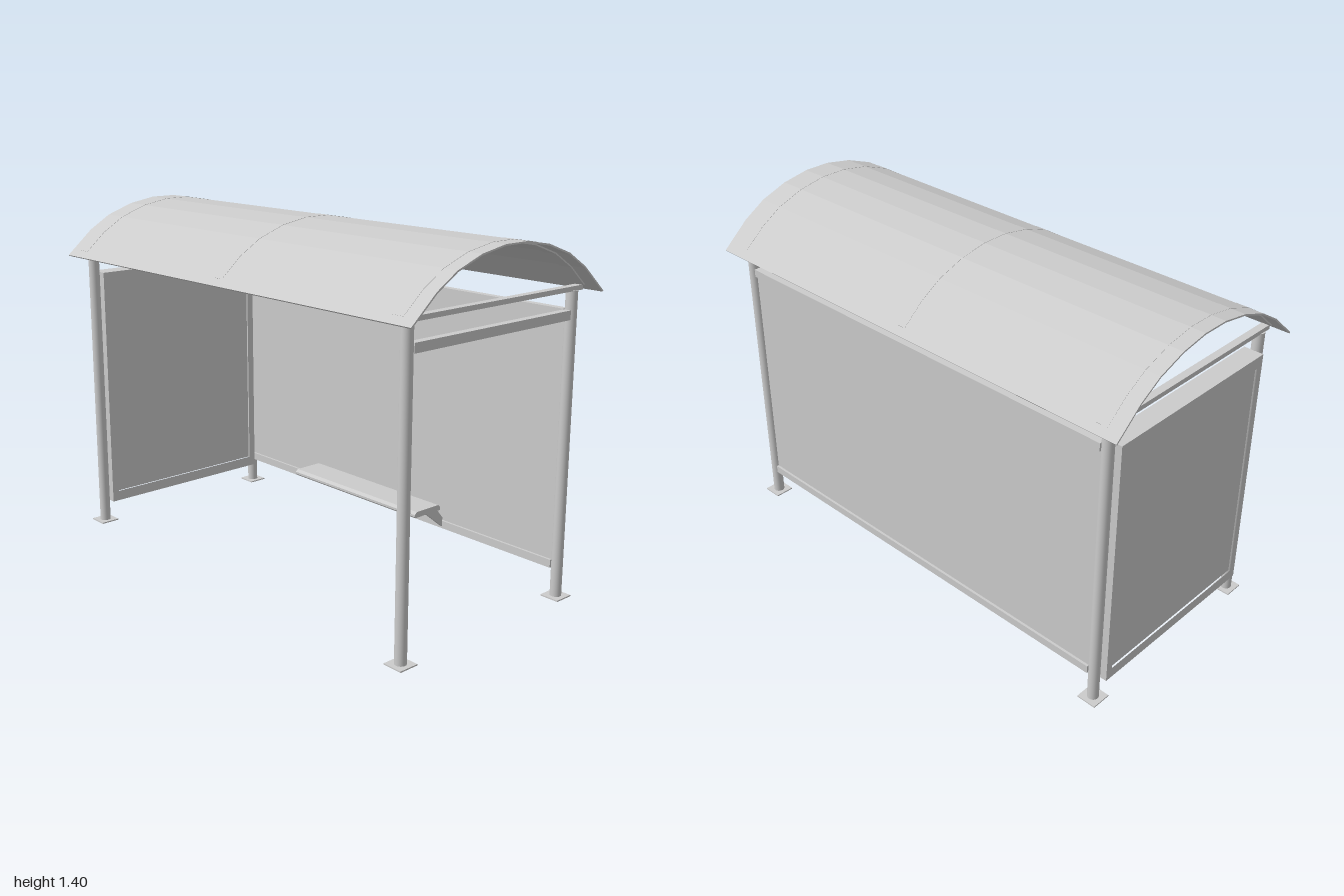
import * as THREE from 'three';

const material = new THREE.MeshStandardMaterial({ color: 0xcccccc });
const flatMaterial = new THREE.MeshStandardMaterial({ color: 0xcccccc, flatShading: true });

const POST_X = 0.917, POST_Z = 0.42;

function add(parent, name, geometry, x = 0, y = 0, z = 0, mat = material) {
  const mesh = new THREE.Mesh(geometry, mat);
  mesh.name = name;
  mesh.position.set(x, y, z);
  parent.add(mesh);
  return mesh;
}

// Box given by its size and centre
function box(parent, name, size, centre) {
  return add(parent, name, new THREE.BoxGeometry(...size), ...centre);
}

// Side profile of [z, y] points, extruded along x and centred on x = 0
function extrudeX(points, width, hole) {
  const toVectors = (list) => list.map(([z, y]) => new THREE.Vector2(-z, y));
  const shape = new THREE.Shape(toVectors(points));
  if (hole) shape.holes.push(new THREE.Path(toVectors(hole)));
  const geometry = new THREE.ExtrudeGeometry(shape, { depth: width, bevelEnabled: false });
  return geometry.translate(0, 0, -width / 2).rotateY(Math.PI / 2);
}

const rect = (z, y0, y1) => [[-z, y0], [z, y0], [z, y1], [-z, y1]];

// Closed band under half an arch, mirrored to the other half
function archBand(half, top, bottom) {
  const arch = [...half, ...half.map(([z, y]) => [-z, y]).reverse()];
  const offset = (d) => arch.map(([z, y]) => {
    const a = z * 1.5; // approximate slope angle of the arch
    return [z + Math.sin(a) * d, y + Math.cos(a) * d];
  });
  return [...offset(top), ...offset(bottom).reverse()];
}

export function createModel() {
  const model = new THREE.Group();
  model.name = 'shelter';

  // Four round posts on square foot plates
  for (const sx of [-1, 1]) {
    for (const sz of [-1, 1]) {
      const x = sx * POST_X, z = sz * POST_Z;
      add(model, 'post', new THREE.CylinderGeometry(0.022, 0.022, 1.18, 24), x, 0.59, z);
      box(model, 'footPlate', [0.08, 0.005, 0.08], [x, 0.0025, z]);
    }
  }

  // Faceted arched roof sheet
  const roofHalf = [[0.49, 1.181], [0.378, 1.278], [0.285, 1.335], [0.171, 1.376], [0.056, 1.396]];
  add(model, 'roof', extrudeX(archBand(roofHalf, 0, -0.006), 2), 0, 0, 0, flatMaterial);

  // Bowed ribs with straight ties across the ends and the middle
  const ribHalf = [[0.463, 1.204], ...roofHalf.slice(1)];
  for (const x of [-POST_X, 0, POST_X]) {
    add(model, 'roofRib', extrudeX(archBand(ribHalf, 0.001, -0.011), 0.05), x, 0, 0, flatMaterial);
    box(model, 'roofTie', [0.03, 0.018, 0.925], [x, 1.187, 0]);
  }

  // Back wall between a top and a bottom rail
  box(model, 'backPanel', [1.79, 0.96, 0.01], [0, 0.61, -POST_Z]);
  box(model, 'backTopRail', [1.79, 0.032, 0.03], [0, 1.094, -POST_Z]);
  box(model, 'backBottomRail', [1.79, 0.032, 0.03], [0, 0.128, -POST_Z]);

  // Rail over the open end
  box(model, 'sideTopRail', [0.03, 0.035, 0.8], [POST_X, 1.0925, 0]);

  // Thick framed display case closing the other end
  const frame = extrudeX(rect(0.4, 0.09, 1.11), 0.08, rect(0.37, 0.133, 1.063));
  add(model, 'displayFrame', frame, -POST_X, 0, 0);
  box(model, 'displayPanel', [0.066, 0.93, 0.74], [-POST_X, 0.598, 0]);

  // Bench seat with eased edges on two slanted brackets
  const seat = [
    [-0.37, 0.206], [-0.225, 0.206], [-0.221, 0.211], [-0.221, 0.22],
    [-0.233, 0.23], [-0.357, 0.23], [-0.37, 0.219],
  ];
  add(model, 'benchSeat', extrudeX(seat, 0.725), 0, 0, 0);
  const bracket = [[-0.295, 0.207], [-0.365, 0.207], [-0.405, 0.16], [-0.405, 0.12]];
  for (const x of [-0.338, 0.338]) add(model, 'benchBracket', extrudeX(bracket, 0.012), x, 0, 0);

  return model;
}
